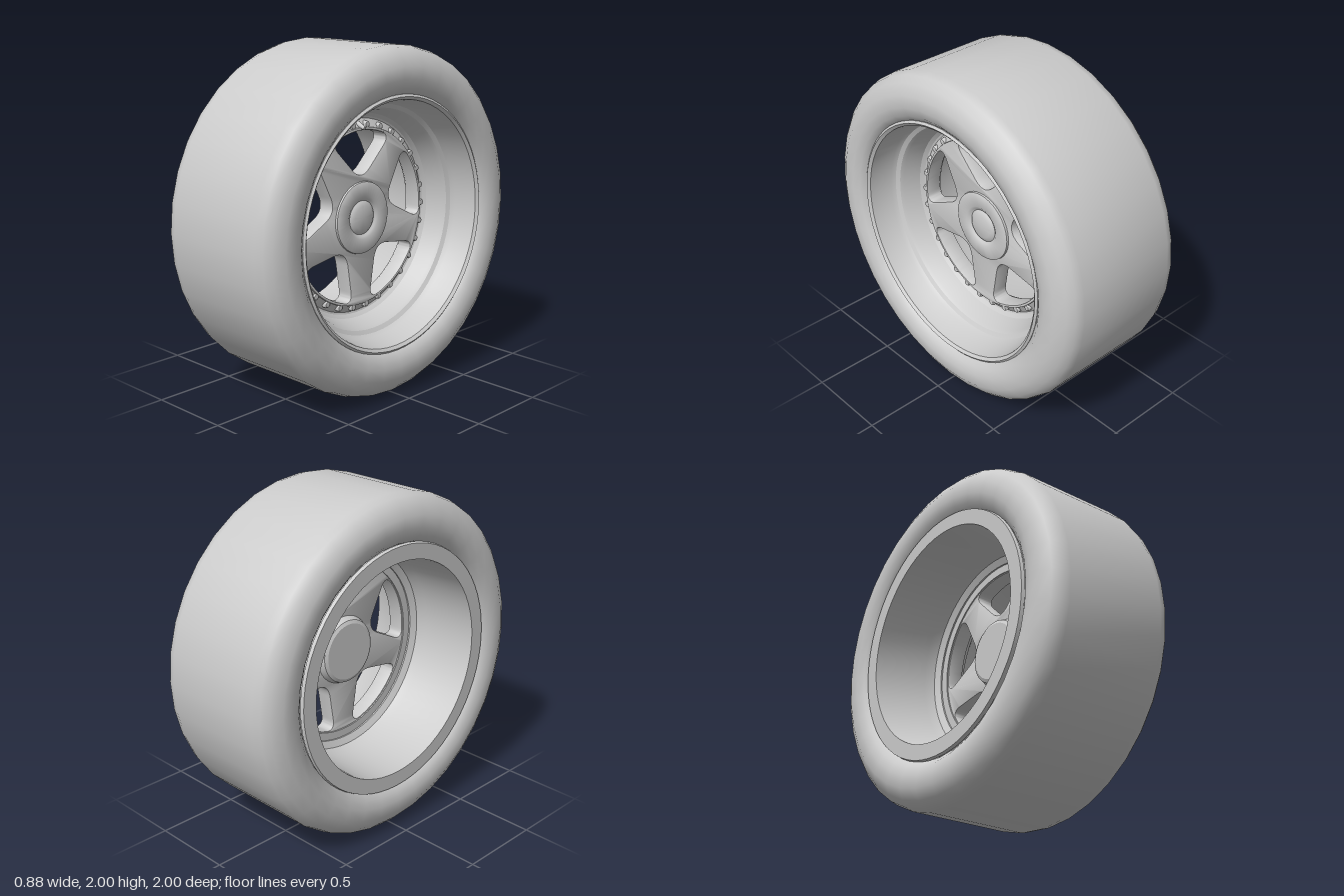
import * as THREE from 'three';
import { toCreasedNormals } from 'three/addons/utils/BufferGeometryUtils.js';

const material = new THREE.MeshStandardMaterial({ color: 0xcccccc });

function add(parent, name, geometry) {
  const mesh = new THREE.Mesh(geometry, material);
  mesh.name = name;
  parent.add(mesh);
  return mesh;
}

// Turned part around the axle (z); profile is [radius, z], outer side rising
function turned(profile, segments, crease) {
  const geo = new THREE.LatheGeometry(profile.map(([r, z]) => new THREE.Vector2(r, z)), segments);
  geo.rotateX(Math.PI / 2);
  return toCreasedNormals(geo, crease);
}

// Rounded triangular window between two spokes, turned by an angle
function windowHole(angle) {
  const p = new THREE.Path();
  p.moveTo(0.07, 0.285);
  p.lineTo(0.185, 0.40);
  p.quadraticCurveTo(0.225, 0.44, 0.19, 0.468);
  p.absarc(0, 0, 0.505, 1.185, Math.PI - 1.185, false);
  p.quadraticCurveTo(-0.225, 0.44, -0.185, 0.40);
  p.lineTo(-0.07, 0.285);
  p.quadraticCurveTo(0, 0.215, 0.07, 0.285);
  const centre = new THREE.Vector2();
  const points = p.getPoints(10).map((v) => v.rotateAround(centre, angle));
  return new THREE.Path(points);
}

export function createModel() {
  const model = new THREE.Group();
  model.name = 'wheel';

  // Built with the axle along z, then turned so the outer face looks to +x
  const wheel = new THREE.Group();
  wheel.name = 'wheelAssembly';
  wheel.rotation.y = Math.PI / 2;
  model.add(wheel);

  // Tyre: one half profile mirrored across the middle
  const half = [[1, 0.32], [0.985, 0.37], [0.95, 0.405], [0.89, 0.44], [0.82, 0.44], [0.77, 0.425], [0.735, 0.395], [0.72, 0.36]];
  const lower = half.map(([r, z]) => [r, -z]).reverse();
  add(wheel, 'tyre', turned([...lower, ...half, lower[0]], 36, 0.9));

  // Rim: stepped dish in front, plain barrel behind
  add(wheel, 'rim', turned([
    [0.64, -0.42], [0.73, -0.42], [0.735, -0.40], [0.70, -0.38], [0.67, -0.2], [0.64, 0],
    [0.66, 0.15], [0.70, 0.25], [0.71, 0.36], [0.735, 0.385], [0.735, 0.40], [0.722, 0.41],
    [0.705, 0.395], [0.68, 0.26], [0.665, 0.235], [0.642, 0.22], [0.63, 0.20],
    [0.60, 0.10], [0.58, 0.08], [0.565, 0.075], [0.56, 0], [0.60, -0.02], [0.62, -0.08], [0.64, -0.42],
  ], 64, 0.45));

  // Five-spoke centre cut from a disc
  const disc = new THREE.Shape();
  disc.absarc(0, 0, 0.522, 0, Math.PI * 2, false);
  for (let i = 0; i < 5; i++) disc.holes.push(windowHole((i * Math.PI * 2) / 5));
  const bevel = 0.006;
  const spokes = new THREE.ExtrudeGeometry(disc, {
    depth: 0.09, curveSegments: 32, bevelEnabled: true,
    bevelSize: bevel, bevelThickness: bevel, bevelOffset: -bevel, bevelSegments: 2,
  });
  spokes.translate(0, 0, 0.024);
  add(wheel, 'spokes', toCreasedNormals(spokes, 0.6));

  // Sloping flange that carries the bolts
  add(wheel, 'boltRing', turned([
    [0.512, 0.01], [0.57, 0.01], [0.57, 0.075], [0.515, 0.112], [0.512, 0.01],
  ], 64, 0.45));

  // Hub cover with a groove around a low dome
  add(wheel, 'hubCover', turned([
    [0.20, 0.08], [0.213, 0.115], [0.21, 0.132], [0.203, 0.136], [0.125, 0.138],
    [0.112, 0.13], [0.10, 0.122], [0.09, 0.13], [0.07, 0.138], [0, 0.142],
  ], 48, 0.7));

  // Mounting pad on the back
  add(wheel, 'mountingPad', turned([
    [0, -0.03], [0.17, -0.03], [0.19, -0.02], [0.21, 0.03],
  ], 48, 0.45));

  // Ring of thirty bolts
  const bolts = new THREE.Group();
  bolts.name = 'bolts';
  wheel.add(bolts);
  const boltGeo = turned([[0.021, 0], [0.021, 0.022], [0.016, 0.03], [0, 0.032]], 10, 0.7);
  for (let i = 0; i < 30; i++) {
    const a = ((i + 0.5) / 30) * Math.PI * 2;
    add(bolts, 'bolt', boltGeo).position.set(Math.sin(a) * 0.536, Math.cos(a) * 0.536, 0.084);
  }

  // Valve stem at the top
  const valve = add(wheel, 'valve', new THREE.CylinderGeometry(0.01, 0.016, 0.06, 12));
  valve.position.set(0, 0.53, 0.115);
  valve.rotation.x = Math.PI / 2 + 0.4;

  model.position.y = 1;
  const group = new THREE.Group();
  group.name = 'model';
  group.add(model);
  return group;
}
